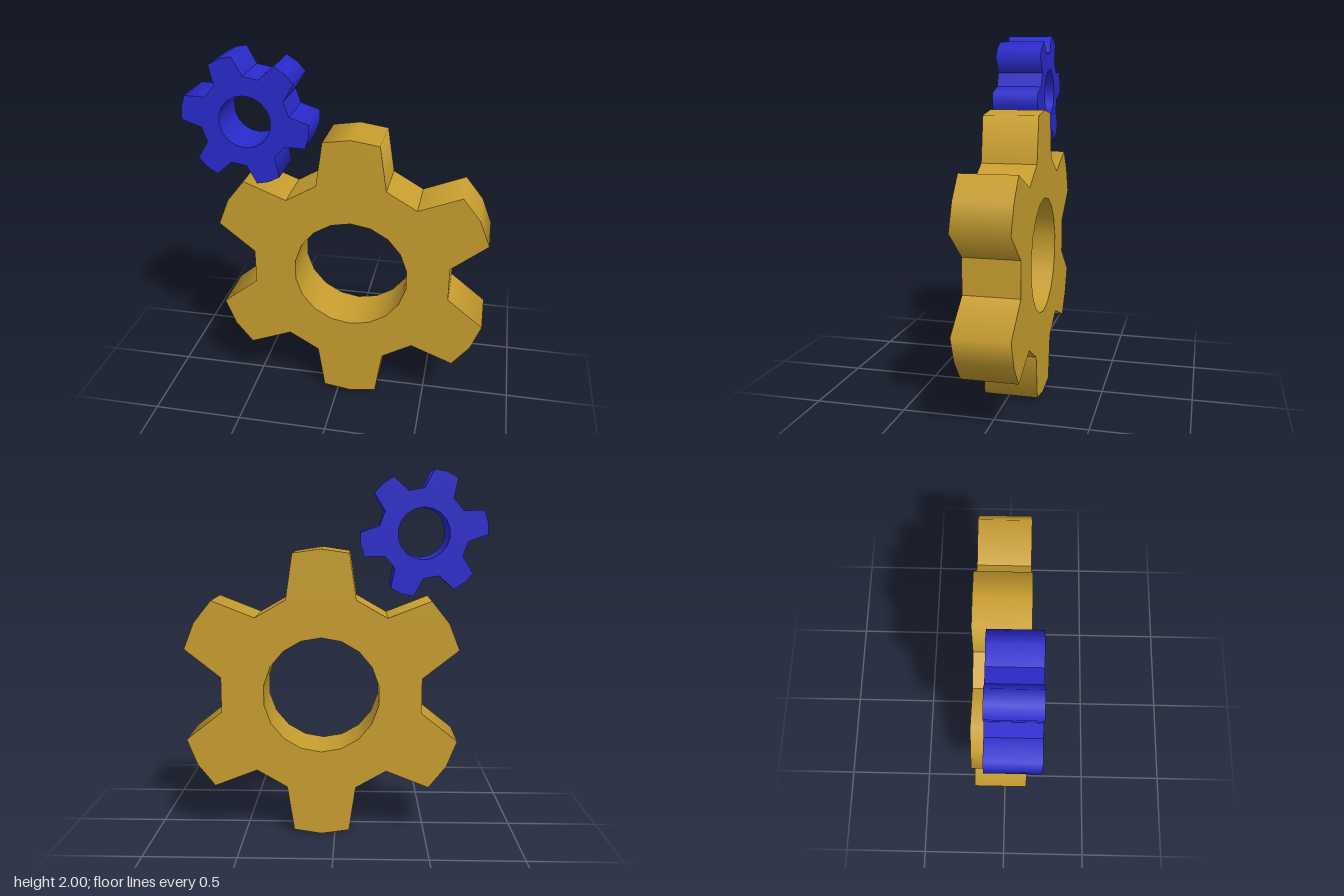
import * as THREE from 'three';
import { mergeGeometries } from 'three/addons/utils/BufferGeometryUtils.js';

const TEETH = 6;
const polar = (r, deg) => {
  const a = THREE.MathUtils.degToRad(deg);
  return new THREE.Vector2(r * Math.cos(a), r * Math.sin(a));
};

// Smooth wall through a row of 2D points, facing right of the direction of travel
function wall(points, depth) {
  const n = points.length;
  const closed = points[0].distanceTo(points[n - 1]) < 1e-6;
  const edge = (i) => points[i + 1].clone().sub(points[i]).normalize();
  const position = [], normal = [], uv = [], index = [];
  for (let i = 0; i < n; i++) {
    const d = new THREE.Vector2();
    if (i > 0 || closed) d.add(edge(i > 0 ? i - 1 : n - 2));
    if (i < n - 1 || closed) d.add(edge(i < n - 1 ? i : 0));
    d.normalize();
    for (const side of [-1, 1]) {
      position.push(points[i].x, points[i].y, side * depth / 2);
      normal.push(d.y, -d.x, 0);
      uv.push(i / (n - 1), (side + 1) / 2);
    }
    if (i < n - 1) {
      const k = 2 * i;
      index.push(k, k + 2, k + 3, k, k + 3, k + 1);
    }
  }
  const g = new THREE.BufferGeometry();
  g.setAttribute('position', new THREE.Float32BufferAttribute(position, 3));
  g.setAttribute('normal', new THREE.Float32BufferAttribute(normal, 3));
  g.setAttribute('uv', new THREE.Float32BufferAttribute(uv, 2));
  g.setIndex(index);
  return g;
}

function makeGear(name, color, { tip, crown, root, bore, depth }) {
  const outline = [], parts = [];
  for (let t = 0; t < TEETH; t++) {
    const mid = 90 + t * 360 / TEETH;
    // tooth: flank, slightly crowned tip, flank
    const tooth = [
      polar(root, mid - 20), polar(tip, mid - 11.2), polar(crown, mid),
      polar(tip, mid + 11.2), polar(root, mid + 20),
    ];
    outline.push(...tooth);
    // tooth wall is smooth, the valley beside it is flat
    parts.push(wall(tooth, depth), wall([polar(root, mid + 20), polar(root, mid + 40)], depth));
  }

  // bore wall, facing inwards
  const hole = [];
  for (let i = 0; i <= TEETH * 3; i++) hole.push(polar(bore, 90 - i * 20));
  parts.push(wall(hole, depth));

  // front and back faces
  const shape = new THREE.Shape(outline);
  shape.holes.push(new THREE.Path(hole.slice(0, -1)));
  const front = new THREE.ShapeGeometry(shape);
  const back = front.clone().rotateY(Math.PI);
  parts.push(front.translate(0, 0, depth / 2), back.translate(0, 0, -depth / 2));

  const mesh = new THREE.Mesh(mergeGeometries(parts), new THREE.MeshStandardMaterial({ color }));
  mesh.name = name;
  return mesh;
}

export function createModel() {
  const model = new THREE.Group();
  model.name = 'gears';

  const large = makeGear('largeGear', 0xc89e2f, {
    tip: 0.785, crown: 0.793, root: 0.555, bore: 0.318, depth: 0.3,
  });
  large.position.set(0.073, 0.794, -0.023);

  const small = makeGear('smallGear', 0x2a2acc, {
    tip: 0.34, crown: 0.343, root: 0.24, bore: 0.139, depth: 0.262,
  });
  small.position.set(-0.475, 1.664, 0.043);
  small.rotation.z = THREE.MathUtils.degToRad(19.8);

  model.add(large, small);
  return model;
}
